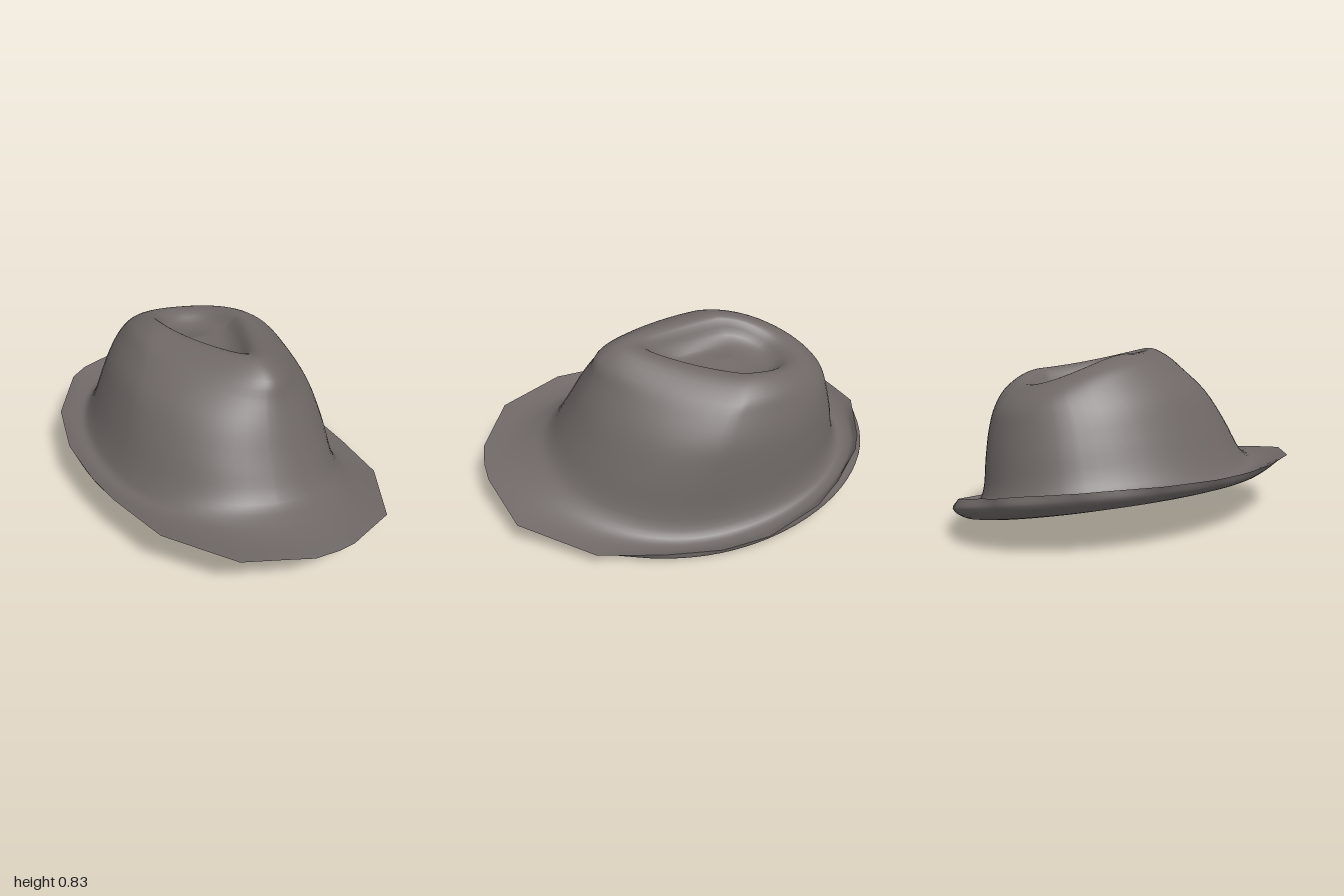
import * as THREE from 'three';

const TILT = 0.17; // the hat leans down towards +x

// brim outline, [x, z] clockwise from the back
const OUTLINE = [
  [-0.04, -1], [0.22, -0.92], [0.31, -0.87], [0.48, -0.7], [0.59, -0.55], [0.7, -0.26], [0.72, -0.02],
  [0.69, 0.25], [0.63, 0.56], [0.39, 0.89], [0.08, 0.99], [-0.03, 1], [-0.16, 0.99], [-0.47, 0.85], [-0.67, 0.53],
  [-0.72, 0.2], [-0.725, 0], [-0.7, -0.28], [-0.6, -0.57], [-0.38, -0.85], [-0.27, -0.92],
];

// the edge ring follows the outline and only uses the heights
const EDGE = [0, 0.163, 0, 0.2, 0, 0.247, 0, 0];
// rings: [half width, side y, front z, front y, back z, back y, centre z, front pinch]
const BRIM = [
  [0.665, 0.142, 0.89, 0.212, -0.94, 0.21, 0, 0],
  [0.615, 0.15, 0.78, 0.235, -0.875, 0.195, 0, 0],
  [0.575, 0.22, 0.68, 0.275, -0.835, 0.24, 0, 0],
];
const CROWN = [
  [0.53, 0.41, 0.59, 0.41, -0.795, 0.4, -0.02, 0.04],
  [0.485, 0.57, 0.51, 0.57, -0.76, 0.52, -0.06, 0.13],
  [0.415, 0.69, 0.45, 0.69, -0.725, 0.61, -0.12, 0.25],
  [0.36, 0.755, 0.41, 0.775, -0.66, 0.675, -0.18, 0.36],
  [0.27, 0.8, 0.3, 0.837, -0.59, 0.71, -0.22, 0.45],
];
const DENT = [
  [0.22, 0.79, 0.2, 0.82, -0.53, 0.705, -0.24, 0.5],
  [0.17, 0.72, 0.12, 0.75, -0.46, 0.67, -0.26, 0.5],
  [0.1, 0.69, 0, 0.69, -0.38, 0.665, -0.26, 0.3],
  [0, 0.695, -0.25, 0.695, -0.25, 0.695, -0.25, 0],
];
// rolled lip, then the flat underside up to the opening
const UNDER = [
  [0.705, 0.13, 0.96, 0.185, -0.993, 0.205, 0, 0],
  [0.65, 0.109, 0.85, 0.165, -0.93, 0.145, 0, 0],
  [0.53, 0.14, 0.64, 0.16, -0.78, 0.135, 0, 0],
];
// the lining is the crown moved inwards by the felt's thickness
const LINING = [
  UNDER[2],
  ...[...CROWN, ...DENT].map(([w, sy, fz, fy, bz, by, z0, pinch]) =>
    [w * 0.95, sy - 0.035, fz * 0.95, fy - 0.035, bz * 0.965, by - 0.035, z0, pinch]),
];

// straight runs between the outline corners, several columns per run
const SUB = 4;
const COLUMNS = OUTLINE.flatMap(([x, z], i) => {
  const [nx, nz] = OUTLINE[(i + 1) % OUTLINE.length];
  return Array.from({ length: SUB }, (_, k) => [x + ((nx - x) * k) / SUB, z + ((nz - z) * k) / SUB]);
});

function ringPoint(ring, [ex, ez]) {
  const [w, sideY, fz, fy, bz, by, z0, pinch] = ring;
  const theta = Math.atan2(ez, ex / 0.72);
  const c = Math.cos(theta), s = Math.sin(theta), front = Math.max(0, s);
  const y = sideY + (s > 0 ? (fy - sideY) * s * s : (by - sideY) * Math.pow(-s, 1.6));
  const lean = TILT * Math.max(0, y - 0.2) * (1 - 0.5 * front);
  const onEdge = ring === EDGE;
  const x = onEdge ? ex : w * c * (1 - pinch * front) + lean;
  const z = onEdge ? ez : z0 + Math.abs(s) * ((s > 0 ? fz : bz) - z0);
  // the last ring closes to one point
  return new THREE.Vector3(w || onEdge ? x : 0.07, y - TILT * (w || onEdge ? x : 0.07), z);
}

// smooth loft from the first ring inwards
function loft(rings, steps, faceDown) {
  const n = COLUMNS.length, pos = [], index = [];
  for (const col of COLUMNS) {
    const curve = new THREE.CatmullRomCurve3(rings.map((r) => ringPoint(r, col)));
    for (let i = 0; i <= steps; i++) {
      const p = curve.getPoint(i / steps);
      pos.push(p.x, Math.max(0, p.y), p.z);
    }
  }
  for (let j = 0; j < n; j++) {
    for (let i = 0; i < steps; i++) {
      const a = j * (steps + 1) + i, b = ((j + 1) % n) * (steps + 1) + i;
      if (faceDown) index.push(a, b, a + 1, b, b + 1, a + 1);
      else index.push(a, a + 1, b, b, a + 1, b + 1);
    }
  }
  const g = new THREE.BufferGeometry();
  g.setAttribute('position', new THREE.Float32BufferAttribute(pos, 3));
  g.setIndex(index);
  g.computeVertexNormals();
  return g;
}

export function createModel() {
  const felt = new THREE.MeshStandardMaterial({ color: 0x6f6866 });
  felt.name = 'warm grey felt';
  const group = new THREE.Group();
  group.name = 'hat';
  const add = (name, geometry) => {
    const mesh = new THREE.Mesh(geometry, felt);
    mesh.name = name;
    group.add(mesh);
  };
  add('crownAndBrimTop', loft([EDGE, ...BRIM, ...CROWN, ...DENT], 48, false));
  add('brimUnderside', loft([EDGE, ...UNDER], 12, true));
  add('crownLining', loft(LINING, 36, true));
  return group;
}
